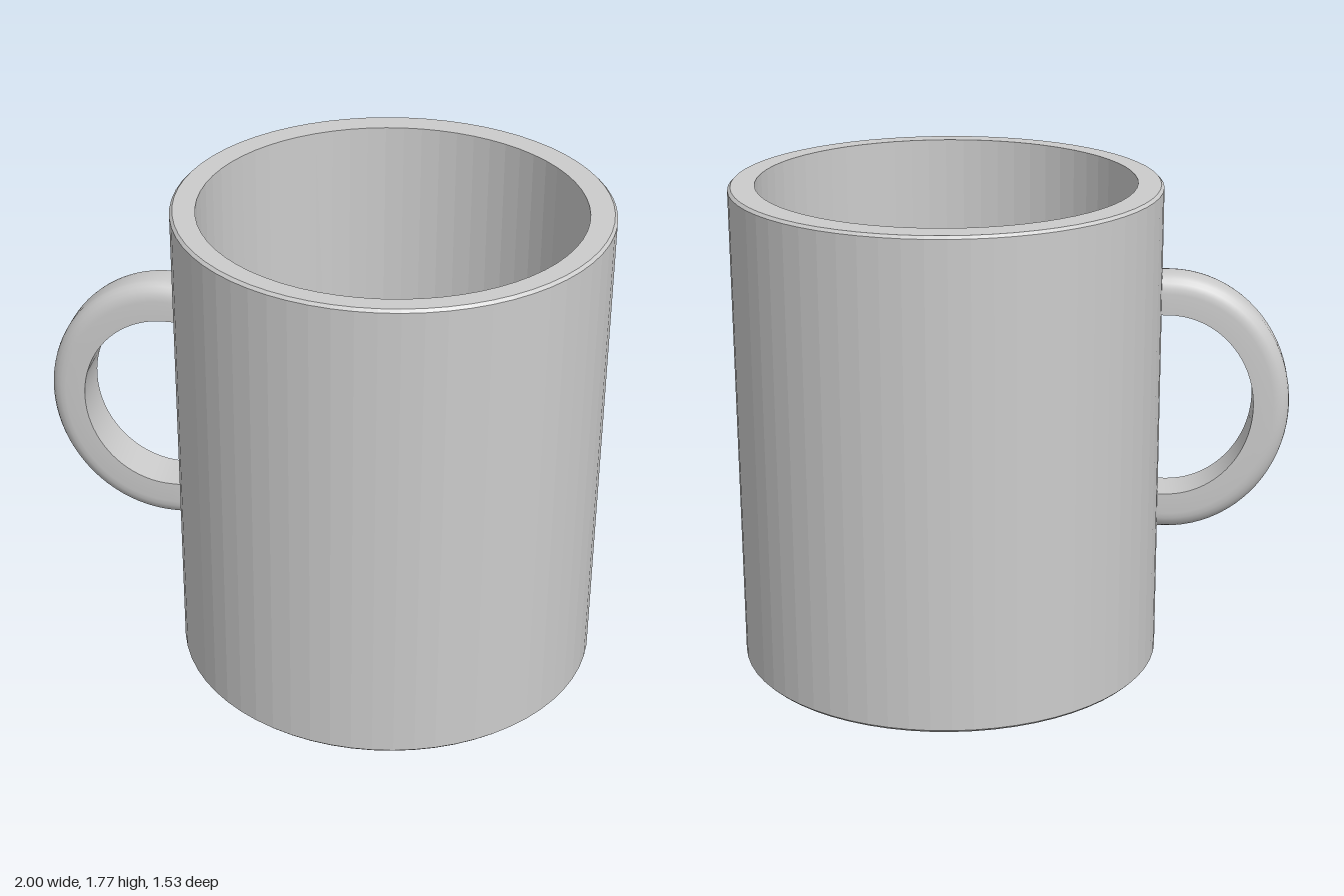
import * as THREE from 'three';
import { toCreasedNormals } from 'three/addons/utils/BufferGeometryUtils.js';

// Cup: one closed lathe profile, with the hollow set slightly off-centre
function cupGeometry() {
  const R = 0.767, r = 0.675, H = 1.77, bevel = 0.01, floor = 0.1;
  const profile = [
    [0, 0], [R - bevel, 0], [R, bevel], [R, H - bevel], [R - bevel, H],
    [r, H], [r, floor], [0, floor],
  ].map(([x, y]) => new THREE.Vector2(x, y));
  const geo = new THREE.LatheGeometry(profile, 64);
  const pos = geo.attributes.position;
  for (let i = 0; i < pos.count; i++) {
    if (i % profile.length >= 5) pos.setZ(i, pos.getZ(i) + 0.015);
  }
  return geo;
}

// Handle: half-ellipse sweep; section is flat inside and rounded on its outer edges
function handleGeometry() {
  const halfWidth = 0.083, cx = -0.56, cy = 0.965, cz = 0.045, steps = 40;
  const section = [[0, halfWidth], [0, -halfWidth]]; // [0 inner .. 1 outer, z]
  const corner = (sign, from, to) => {
    for (let k = 0; k <= 5; k++) {
      const a = THREE.MathUtils.lerp(from, to, k / 5);
      section.push([0.55 + 0.45 * Math.sin(a), sign * (halfWidth - 0.05 + 0.05 * Math.cos(a))]);
    }
  };
  corner(-1, 0, Math.PI / 2);
  corner(1, Math.PI / 2, 0);

  const positions = [], index = [], n = section.length;
  const ring = (angle, dx) => {
    for (const [u, z] of section) {
      positions.push(
        cx + dx - (0.31 + 0.13 * u) * Math.sin(angle),
        cy + (0.34 + 0.14 * u) * Math.cos(angle),
        cz + z);
    }
  };
  ring(0, 0.06); // straight ends run into the cup wall
  for (let i = 0; i <= steps; i++) ring(Math.PI * i / steps, 0);
  ring(Math.PI, 0.06);

  const rings = steps + 3;
  for (let i = 0; i < rings - 1; i++) {
    for (let j = 0; j < n; j++) {
      const a = i * n + j, b = i * n + (j + 1) % n;
      index.push(a, b, a + n, b, b + n, a + n);
    }
  }
  const geo = new THREE.BufferGeometry();
  geo.setAttribute('position', new THREE.Float32BufferAttribute(positions, 3));
  geo.setIndex(index);
  return toCreasedNormals(geo, 0.6);
}

export function createModel() {
  const group = new THREE.Group();
  group.name = 'mug';

  const cup = new THREE.Mesh(cupGeometry(),
    new THREE.MeshStandardMaterial({ color: 0xcccccc, flatShading: true }));
  cup.name = 'cup';
  cup.position.x = 0.233;

  const handle = new THREE.Mesh(handleGeometry(),
    new THREE.MeshStandardMaterial({ color: 0xcccccc, side: THREE.DoubleSide }));
  handle.name = 'handle';

  group.add(cup, handle);
  return group;
}
